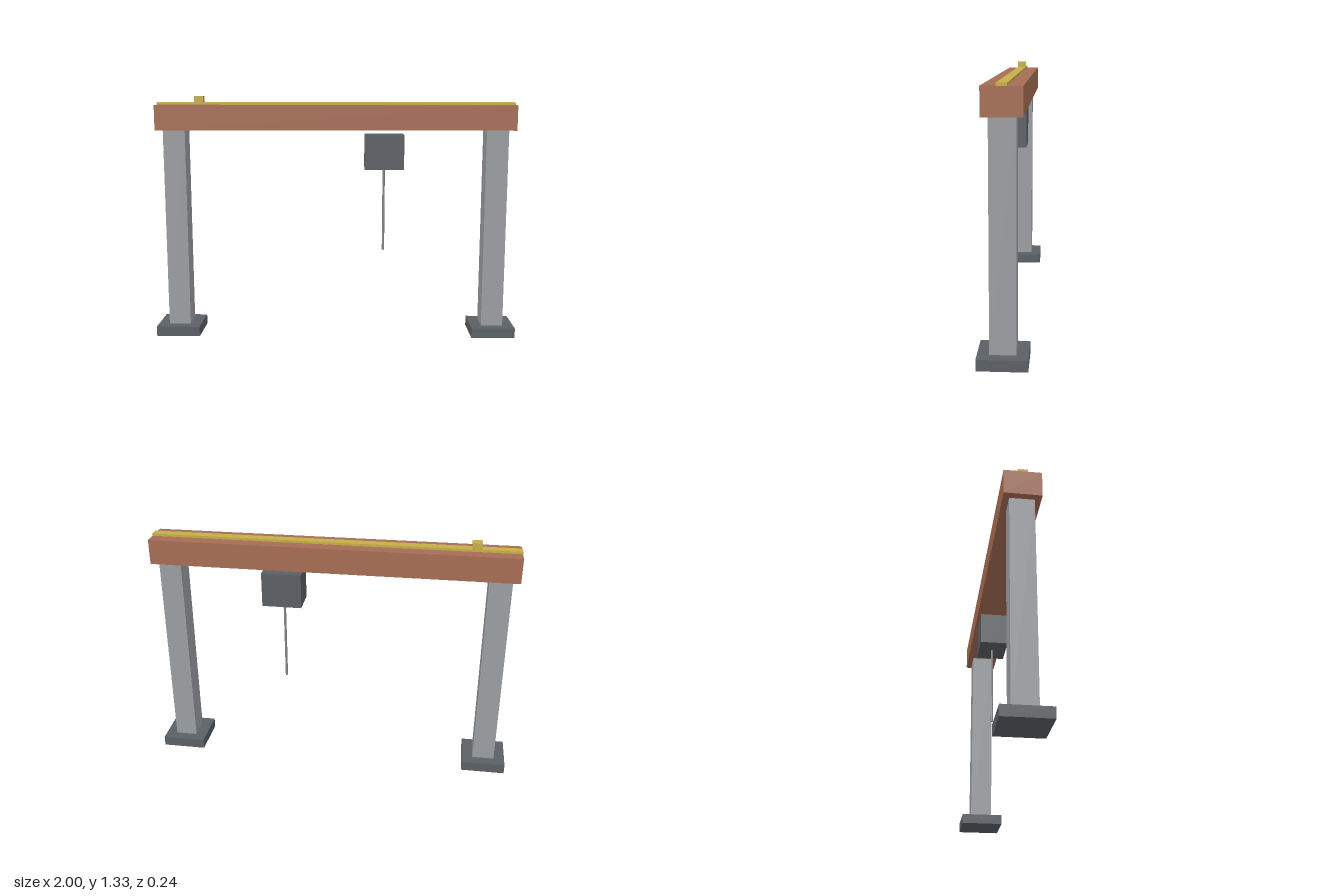
import * as THREE from 'three';

export function createModel() {
  const model = new THREE.Group();
  model.name = 'gantryCrane';

  const material = (name, color) => {
    const m = new THREE.MeshStandardMaterial({ color });
    m.name = name;
    return m;
  };
  const concrete = material('light grey column', 0x9b9ea2);
  const darkSteel = material('dark grey steel', 0x5b6065);
  const rust = material('rust brown beam', 0xa56d54);
  const yellow = material('yellow rail', 0xc6ae48);
  const cableGrey = material('cable grey', 0x85878a);

  const add = (name, geometry, mat, x, y, z = 0) => {
    const mesh = new THREE.Mesh(geometry, mat);
    mesh.name = name;
    mesh.position.set(x, y, z);
    model.add(mesh);
    return mesh;
  };
  // Box standing between two heights
  const box = (name, mat, x, y0, y1, width, depth) =>
    add(name, new THREE.BoxGeometry(width, y1 - y0, depth), mat, x, (y0 + y1) / 2);

  // Columns on their footings
  for (const [side, s] of [['left', 1], ['right', -1]]) {
    box(side + 'Footing', darkSteel, s * 0.88, 0, 0.055, 0.24, 0.24);
    box(side + 'Column', concrete, s * 0.88, 0.05, 1.152, 0.12, 0.125);
  }

  // Crossbeam with the rail and stop block on top
  box('crossbeam', rust, 0, 1.15, 1.285, 1.954, 0.188);
  box('rail', yellow, 0, 1.285, 1.298, 1.954, 0.05);
  box('railBlock', yellow, -0.747, 1.285, 1.332, 0.05, 0.05);

  // Hoist hanging below the beam, with its cable
  box('hoist', darkSteel, 0.267, 0.936, 1.124, 0.214, 0.16);
  const cable = new THREE.CylinderGeometry(0.0067, 0.0067, 0.465, 8).toNonIndexed();
  cable.computeVertexNormals();
  add('cable', cable, cableGrey, 0.267, 0.7085);

  return model;
}
